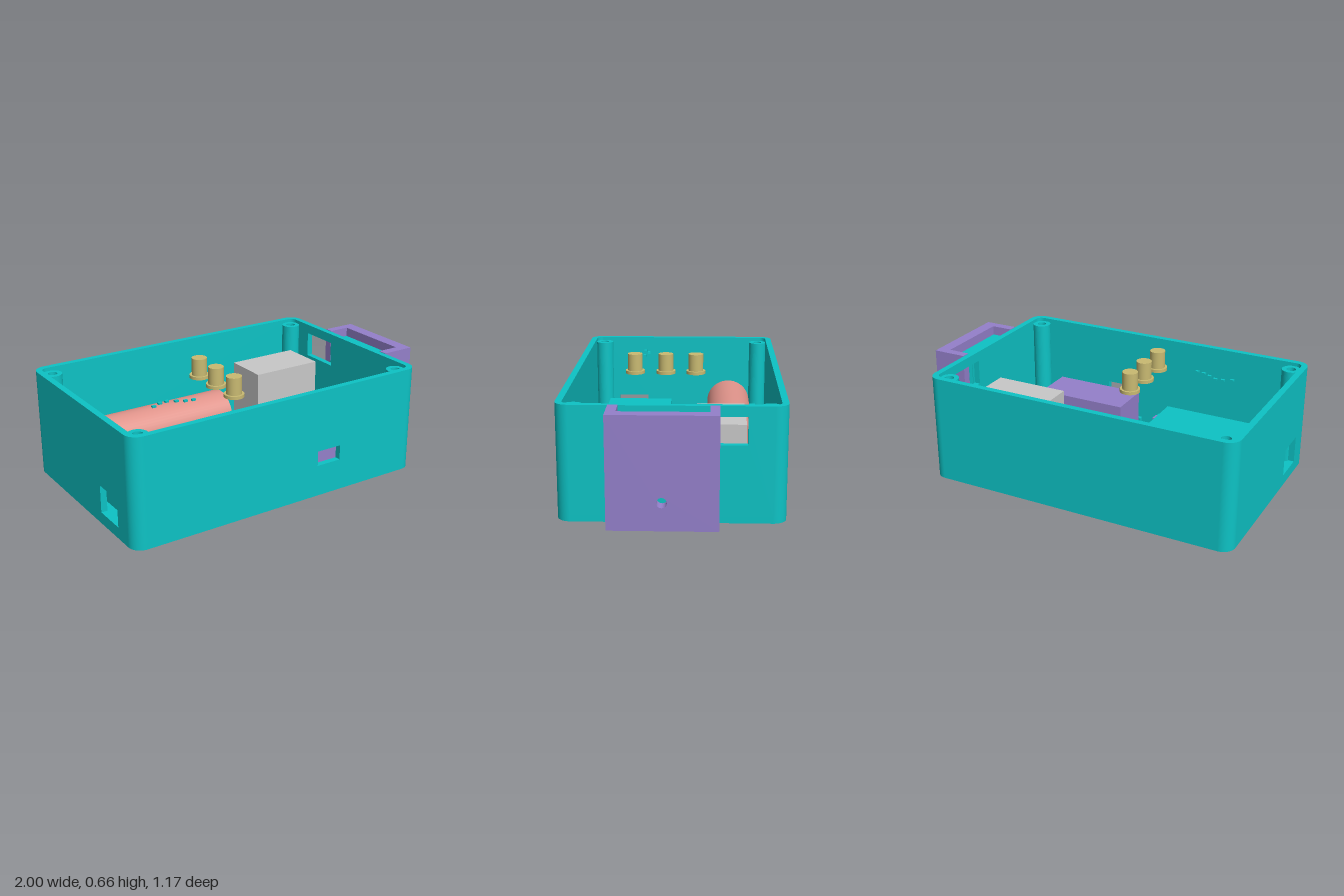
import * as THREE from 'three';

const mat = (name, color) => {
  const m = new THREE.MeshStandardMaterial({ color });
  m.name = name;
  return m;
};

export function createModel() {
  const root = new THREE.Group();
  root.name = 'electronicsEnclosure';
  const teal = mat('teal', 0x0dc3c5), purple = mat('purple', 0x9480ca), red = mat('salmon', 0xdf938a);
  const gold = mat('brass', 0xc9ba72), grey = mat('grey', 0xc8c8c8);

  const add = (name, geo, m, x = 0, y = 0, z = 0) => {
    const mesh = new THREE.Mesh(geo, m);
    mesh.name = name;
    mesh.position.set(x, y, z);
    root.add(mesh);
    return mesh;
  };
  // Box given by its limits on each axis
  const box = (name, m, x0, x1, y0, y1, z0, z1) =>
    add(name, new THREE.BoxGeometry(x1 - x0, y1 - y0, z1 - z0), m, (x0 + x1) / 2, (y0 + y1) / 2, (z0 + z1) / 2);
  const rect = (Type, a0, a1, b0, b1) => {
    const p = new Type();
    p.moveTo(a0, b0);
    p.lineTo(a1, b0);
    p.lineTo(a1, b1);
    p.lineTo(a0, b1);
    p.closePath();
    return p;
  };
  const extrude = (shape, depth) =>
    new THREE.ExtrudeGeometry(shape, { depth, bevelEnabled: false, curveSegments: 24 });

  const X0 = -1, X1 = 0.805, Z = 0.583, H = 0.61, R = 0.07, T = 0.035;

  // Floor with rounded corners
  const floor = new THREE.Shape();
  floor.absarc(X1 - R, Z - R, R, 0, Math.PI / 2);
  floor.absarc(X0 + R, Z - R, R, Math.PI / 2, Math.PI);
  floor.absarc(X0 + R, -Z + R, R, Math.PI, Math.PI * 1.5);
  floor.absarc(X1 - R, -Z + R, R, Math.PI * 1.5, Math.PI * 2);
  add('floor', extrude(floor, T).rotateX(-Math.PI / 2), teal);

  // Front and back walls, the front one with a port
  const frontShape = rect(THREE.Shape, X0 + R, X1 - R, T, H);
  frontShape.holes.push(rect(THREE.Path, 0.12, 0.27, 0.18, 0.265));
  add('frontWall', extrude(frontShape, T), teal, 0, 0, Z - T);
  box('backWall', teal, X0 + R, X1 - R, T, H, -Z, -Z + T);

  // Side walls, drawn in (-z, y) and turned to face x
  const sideWall = (name, x, z0, z1, y0, y1) => {
    const s = rect(THREE.Shape, -Z + R, Z - R, T, H);
    s.holes.push(rect(THREE.Path, -z1, -z0, y0, y1));
    add(name, extrude(s, T).rotateY(Math.PI / 2), teal, x);
  };
  sideWall('leftWall', X1 - T, -0.38, -0.14, 0.41, 0.555);
  sideWall('rightWall', X0, 0.22, 0.41, 0.065, 0.22);

  // Rounded wall corners and screw posts
  for (const sx of [-1, 1]) for (const sz of [-1, 1]) {
    const a = sx > 0 ? (sz > 0 ? 1.5 : 0) : (sz > 0 ? 1 : 0.5);
    const c = new THREE.Shape();
    c.absarc(0, 0, R, a * Math.PI, (a + 0.5) * Math.PI, false);
    c.absarc(0, 0, R - T, (a + 0.5) * Math.PI, a * Math.PI, true);
    c.closePath();
    add('wallCorner', extrude(c, H - T).rotateX(-Math.PI / 2), teal,
      sx > 0 ? X1 - R : X0 + R, T, sz * (Z - R));

    const post = new THREE.Shape();
    post.absarc(0, 0, 0.053, 0, Math.PI * 2);
    const hole = new THREE.Path();
    hole.absarc(0, 0, 0.026, 0, Math.PI * 2, true);
    post.holes.push(hole);
    add('screwPost', extrude(post, 0.555).rotateX(-Math.PI / 2), teal, sx > 0 ? 0.72 : -0.915, T, sz * 0.497);
  }

  // Battery cell and its clips
  add('battery', new THREE.CylinderGeometry(0.135, 0.135, 0.945, 48).rotateZ(Math.PI / 2), red, -0.4075, 0.207, -0.31);
  for (const x of [-0.83, -0.083]) {
    box('batteryClip', teal, x, x + 0.075, T, 0.2, -0.485, -0.447);
    box('batteryClip', teal, x, x + 0.075, T, 0.2, -0.173, -0.135);
  }

  // Circuit modules and the rails holding them
  box('greyModule', grey, 0.21, 0.635, T, 0.468, -0.38, -0.12);
  box('purpleModule', purple, 0.02, 0.56, T, 0.27, 0.215, 0.467);
  const rails = (x0, x1, z0, z1) => {
    for (const [z, s] of [[z0, 1], [z1, -1]]) {
      const e = z - s * 0.018;
      box('moduleRail', teal, x0, x1, T, 0.1, Math.min(z, e), Math.max(z, e));
      const f = z + s * 0.008;
      for (const x of [x0, x1 - 0.01])
        box('railEnd', teal, x, x + 0.01, T, 0.1, Math.min(z, f), Math.max(z, f));
    }
  };
  rails(0.197, 0.648, -0.38, -0.12);
  rails(0.08, 0.512, -0.08, 0.168);
  rails(0.005, 0.572, 0.215, 0.467);

  // Control board, its cover and side button
  box('boardLedge', teal, -0.895, -0.14, T, 0.12, 0.03, 0.46);
  box('boardCover', teal, -0.868, -0.178, 0.12, 0.22, 0.06, 0.462);
  box('boardEdge', purple, -0.89, -0.165, T, 0.1, 0.46, 0.475);
  box('buttonBase', purple, -0.178, -0.095, T, 0.14, 0.425, 0.475);
  add('button', new THREE.CylinderGeometry(0.022, 0.022, 0.02, 24), teal, -0.14, 0.15, 0.448);

  // Brass push buttons with flanges
  for (const z of [-0.107, 0.068, 0.248]) {
    add('pushButtonFlange', new THREE.CylinderGeometry(0.056, 0.056, 0.018, 32), gold, -0.2, 0.553, z);
    add('pushButton', new THREE.CylinderGeometry(0.043, 0.043, 0.1, 32), gold, -0.2, 0.61, z);
  }

  // Arc of small indicator tabs
  for (const [x, z] of [[-0.67, 0.215], [-0.623, 0.192], [-0.58, 0.188], [-0.535, 0.212], [-0.493, 0.235], [-0.45, 0.245]])
    box('indicatorTab', teal, x - 0.011, x + 0.011, 0.574, 0.584, z - 0.008, z + 0.008);

  // Outer bracket: plate with a screw hole, two cheeks, sliding on a rail
  const plate = rect(THREE.Shape, -0.313, 0.24, 0.03, 0.613);
  const screw = new THREE.Path();
  screw.absarc(-0.04, 0.175, 0.026, 0, Math.PI * 2, true);
  plate.holes.push(screw);
  add('bracketPlate', extrude(plate, 0.07).rotateY(Math.PI / 2), purple, 0.93);
  box('bracketCheek', purple, X1, 0.93, 0.03, 0.613, -0.24, -0.192);
  box('bracketCheek', purple, X1, 0.93, 0.03, 0.613, 0.262, 0.313);
  box('railStem', teal, X1, 0.88, 0.06, 0.56, -0.155, 0.228);
  box('railHead', teal, 0.88, 0.929, 0.06, 0.56, -0.19, 0.26);
  for (const z of [-0.19, 0.23]) box('railFiller', teal, X1, 0.88, 0.06, 0.54, z, z + 0.03);

  return root;
}
